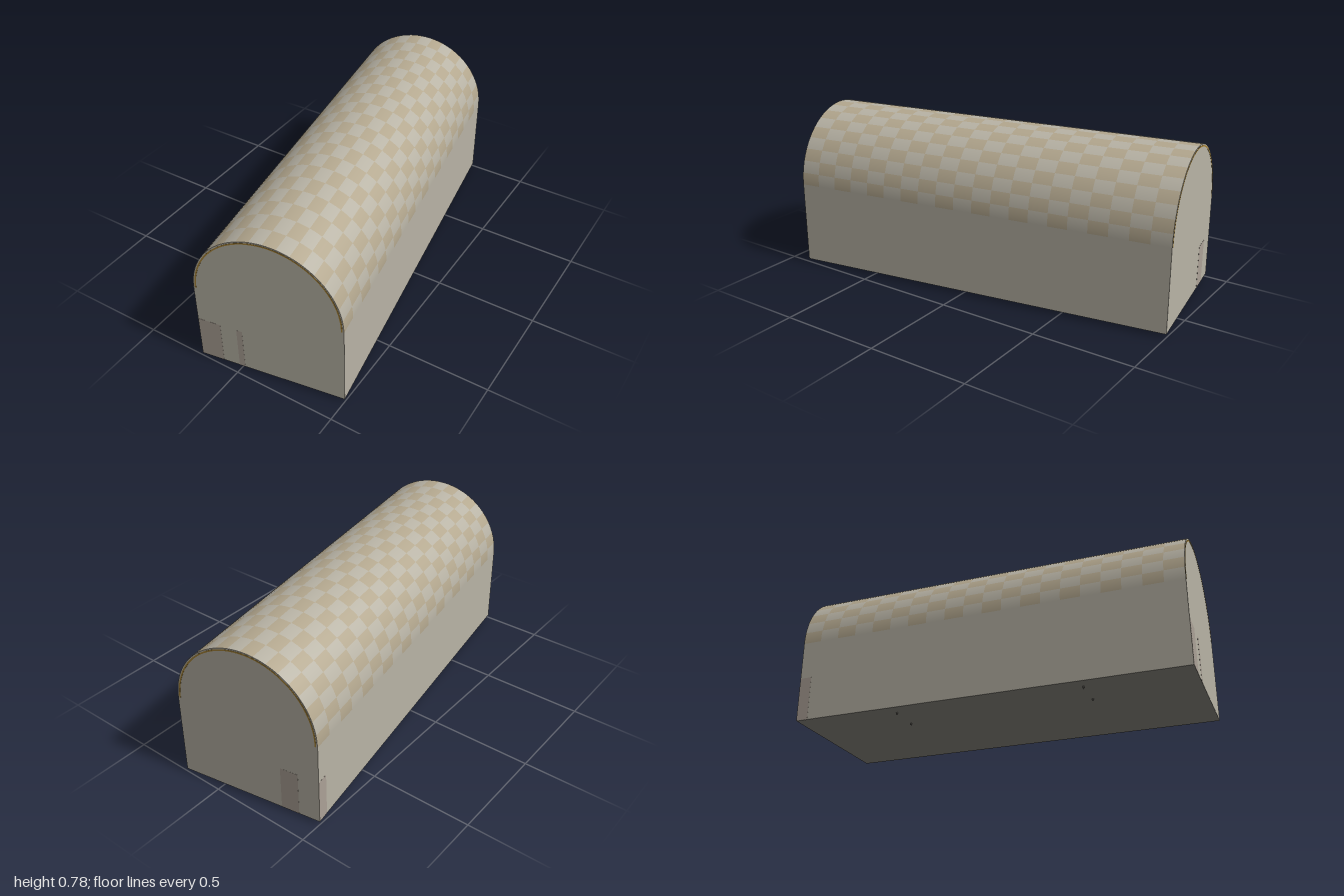
import * as THREE from 'three';
import { mergeGeometries } from 'three/addons/utils/BufferGeometryUtils.js';

const W = 0.706, L = 1.912, R = W / 2, BASE = 0.016, SPRING = 0.426;

const mat = (color, side = THREE.FrontSide) => new THREE.MeshStandardMaterial({ color, side });
const stone = mat(0xb8b3a5), tan = mat(0xb7ab92), brass = mat(0xa8853a);
const floorGrey = mat(0x85827a), doorGrey = mat(0xaba196);

export function createModel() {
  const building = new THREE.Group();
  building.name = 'vaultedHall';
  const add = (name, geometry, material, x = 0, y = 0, z = 0) => {
    const mesh = new THREE.Mesh(geometry, material);
    mesh.name = name;
    mesh.position.set(x, y, z);
    building.add(mesh);
    return mesh;
  };

  // Side walls
  const wallH = SPRING - BASE;
  for (const s of [-1, 1]) {
    add(s > 0 ? 'leftWall' : 'rightWall', new THREE.BoxGeometry(0.01, wallH, L), stone,
      s * (R - 0.005), BASE + wallH / 2, 0);
  }

  // Arched end walls, set between the side walls
  const arch = new THREE.Shape();
  arch.moveTo(-R + 0.001, BASE);
  arch.lineTo(R - 0.001, BASE);
  arch.lineTo(R - 0.001, SPRING);
  arch.absarc(0, SPRING, R - 0.001, 0, Math.PI, false);
  const endGeo = new THREE.ExtrudeGeometry(arch, { depth: 0.01, bevelEnabled: false, curveSegments: 36 });
  add('frontWall', endGeo, stone, 0, 0, L / 2 - 0.01);
  add('backWall', endGeo, stone, 0, 0, -L / 2);

  // Barrel roof: checkered curved panels in two tones
  const rows = 18, cols = 20, tones = [[], []];
  const step = Math.PI / rows, panelL = L / cols;
  for (let i = 0; i < rows; i++) {
    for (let j = 0; j < cols; j++) {
      const panel = new THREE.CylinderGeometry(R, R, panelL, 2, 1, true, Math.PI / 2 + i * step, step);
      panel.rotateX(Math.PI / 2);
      panel.translate(0, SPRING, -L / 2 + (j + 0.5) * panelL);
      tones[(i + j) % 2].push(panel);
    }
  }
  const roofMats = [mat(0xb8b3a5, THREE.DoubleSide), mat(0xb3a78e, THREE.DoubleSide)];
  tones.forEach((panels, k) => add(k ? 'roofTanPanels' : 'roofGreyPanels', mergeGeometries(panels), roofMats[k]));

  // Slim arched trim following the inside of the roof edge at both ends
  const trim = new THREE.Shape();
  trim.absarc(0, SPRING, R - 0.007, 0, Math.PI, false);
  trim.absarc(0, SPRING, R - 0.014, Math.PI, 0, true);
  const trimGeo = new THREE.ExtrudeGeometry(trim, { depth: 0.004, bevelEnabled: false, curveSegments: 36 });
  add('frontArchTrim', trimGeo, brass, 0, 0, L / 2 - 0.003);
  add('backArchTrim', trimGeo, brass, 0, 0, -L / 2 - 0.001);

  // Floor slab
  add('floor', new THREE.BoxGeometry(W - 0.002, 0.01, L - 0.002), floorGrey, 0, BASE + 0.0045, 0);

  // Flush door panels, given as [x from, x to, end]
  const doorH = 0.22;
  for (const [a, b, s] of [[-0.352, -0.242, 1], [-0.162, -0.134, 1], [-0.25, -0.162, -1]]) {
    add(s > 0 ? 'frontDoorPanel' : 'backDoorPanel', new THREE.BoxGeometry(b - a, doorH, 0.002), doorGrey,
      (a + b) / 2, BASE + doorH / 2, s * (L / 2 - 0.0005));
  }
  add('sideDoorPanel', new THREE.BoxGeometry(0.002, doorH, 0.06), doorGrey,
    -R + 0.0005, BASE + doorH / 2, -L / 2 + 0.03);

  // Small pointed feet under the floor
  const footGeo = new THREE.ConeGeometry(0.006, 0.018, 6);
  footGeo.rotateX(Math.PI);
  for (const x of [-0.285, -0.133]) {
    for (const z of [-0.45, 0.46]) add('floorFoot', footGeo, floorGrey, x, 0.009, z);
  }

  // The hall stands turned on its plot
  building.rotation.y = THREE.MathUtils.degToRad(9.1);
  const model = new THREE.Group();
  model.name = 'model';
  model.add(building);
  return model;
}
